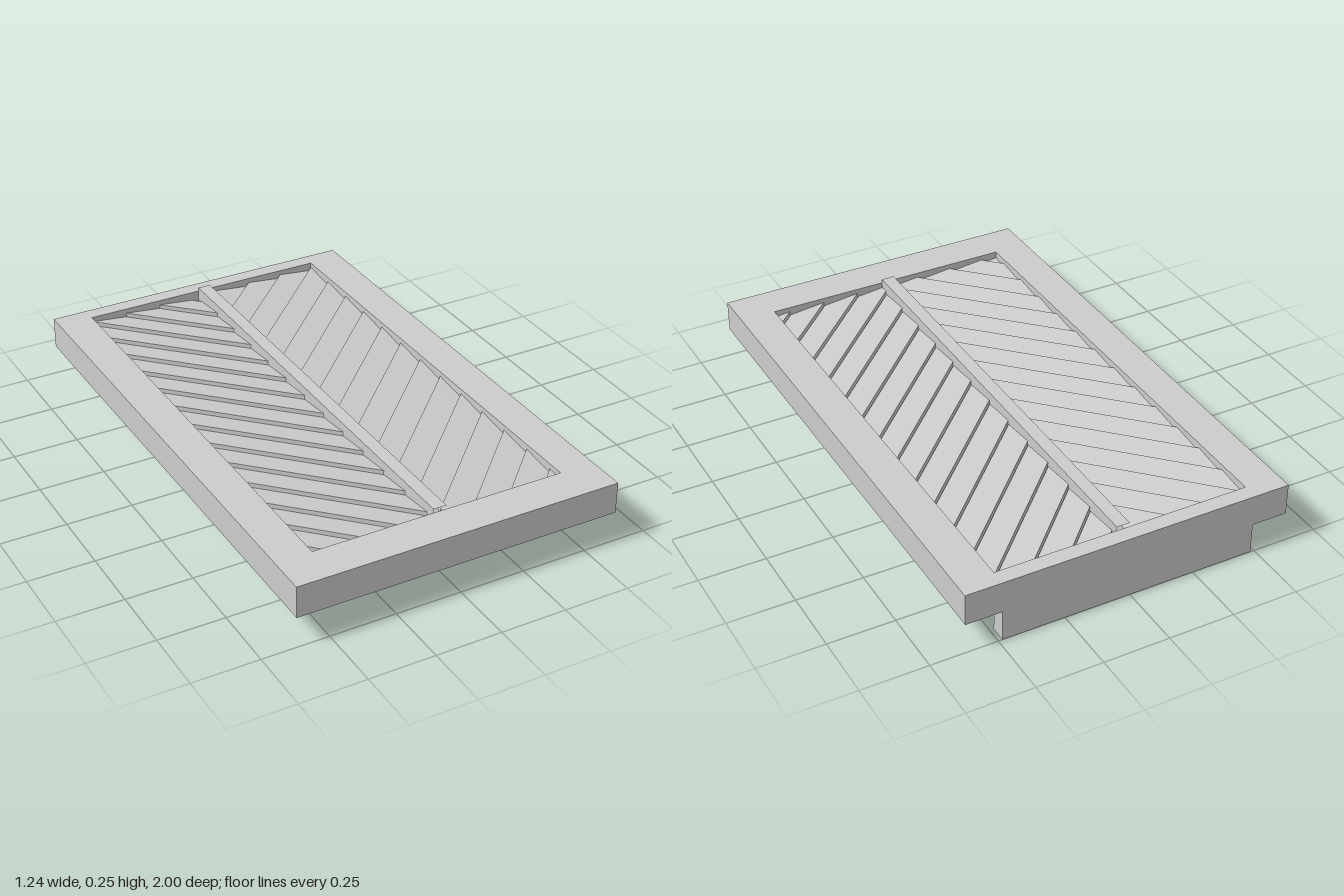
import * as THREE from 'three';
import { ConvexGeometry } from 'three/addons/geometries/ConvexGeometry.js';

const IN_X = 0.485, BAR_X = 0.025, BACK = -0.94, FRONT = 0.853;

// Counter-clockwise rectangle outline in plan; shape y is -z
function rect(Type, x0, x1, z0, z1) {
  return new Type([[x0, z1], [x1, z1], [x1, z0], [x0, z0]].map(([x, z]) => new THREE.Vector2(x, -z)));
}

// Keep the part of a plan polygon where f(point) >= 0
function clip(poly, f) {
  const out = [];
  poly.forEach((a, i) => {
    const b = poly[(i + 1) % poly.length], fa = f(a), fb = f(b);
    if (fa >= 0) out.push(a);
    if ((fa > 0 && fb < 0) || (fa < 0 && fb > 0)) {
      const t = fa / (fa - fb);
      out.push([a[0] + (b[0] - a[0]) * t, a[1] + (b[1] - a[1]) * t]);
    }
  });
  return out;
}

export function createModel() {
  const group = new THREE.Group();
  const grey = new THREE.MeshStandardMaterial({ color: 0xcccccc });
  grey.name = 'plain grey';
  const add = (name, geometry, x = 0, y = 0, z = 0) => {
    const mesh = new THREE.Mesh(geometry, grey);
    mesh.name = name;
    mesh.position.set(x, y, z);
    group.add(mesh);
    return mesh;
  };

  // Frame in two layers; the lower one is slotted to leave grooves below
  const layer = (name, y0, y1, grooves) => {
    const shape = rect(THREE.Shape, -0.621, 0.621, -1, 1);
    shape.holes.push(rect(THREE.Path, -IN_X, IN_X, BACK, FRONT));
    if (grooves) for (const s of [-1, 1])
      shape.holes.push(rect(THREE.Path, s * 0.555 - 0.045, s * 0.555 + 0.045, -0.9, FRONT));
    const g = new THREE.ExtrudeGeometry(shape, { depth: y1 - y0, bevelEnabled: false });
    g.rotateX(-Math.PI / 2);
    add(name, g, 0, y0, 0);
  };
  layer('frameTop', 0.15, 0.239, false);
  layer('frameUnderside', 0.118, 0.15, true);

  // Rear skirt hanging below the frame
  add('rearSkirt', new THREE.BoxGeometry(IN_X * 2, 0.118, 0.06), 0, 0.059, -0.97);

  // Centre bar, open at both ends
  const bar = new THREE.BoxGeometry(BAR_X * 2, 0.114, FRONT - BACK);
  bar.setIndex(Array.from(bar.index.array.slice(0, 24)));
  bar.clearGroups();
  add('centreBar', bar, 0, 0.197, (FRONT + BACK) / 2);

  // Thick diagonal louvre slats, trimmed to each half of the opening
  const pitch = 0.144, gap = 0.004, tilt = 0.155, half = 0.026, midY = 0.187;
  for (const side of [-1, 1]) {
    for (let k = -3; k <= 12; k++) {
      const u0 = BACK + pitch * k + gap / 2, u1 = u0 + pitch - gap, mid = (u0 + u1) / 2;
      const run = IN_X - BAR_X;
      let poly = [[IN_X, u0], [IN_X, u1], [BAR_X, u1 + run], [BAR_X, u0 + run]];
      poly = clip(poly, p => p[1] - BACK);
      poly = clip(poly, p => FRONT - p[1]);
      if (poly.length < 3) continue;
      const points = [];
      for (const [a, z] of poly) {
        const s = (mid - (z - (IN_X - a))) / Math.SQRT2;
        const y = midY + side * tilt * s;
        points.push(new THREE.Vector3(side * a, y - half, z), new THREE.Vector3(side * a, y + half, z));
      }
      add(side > 0 ? 'leftSlat' : 'rightSlat', new ConvexGeometry(points));
    }
  }

  // Small tapered pads under the front corners
  for (const s of [-1, 1]) {
    const pad = new THREE.CylinderGeometry(0.04 * Math.SQRT2, 0.031 * Math.SQRT2, 0.009, 4).toNonIndexed();
    pad.rotateY(Math.PI / 4);
    pad.scale(0.92, 1, 1.08);
    pad.computeVertexNormals();
    add('frontPad', pad, s * 0.552, 0.1155, 0.926);
  }
  return group;
}
